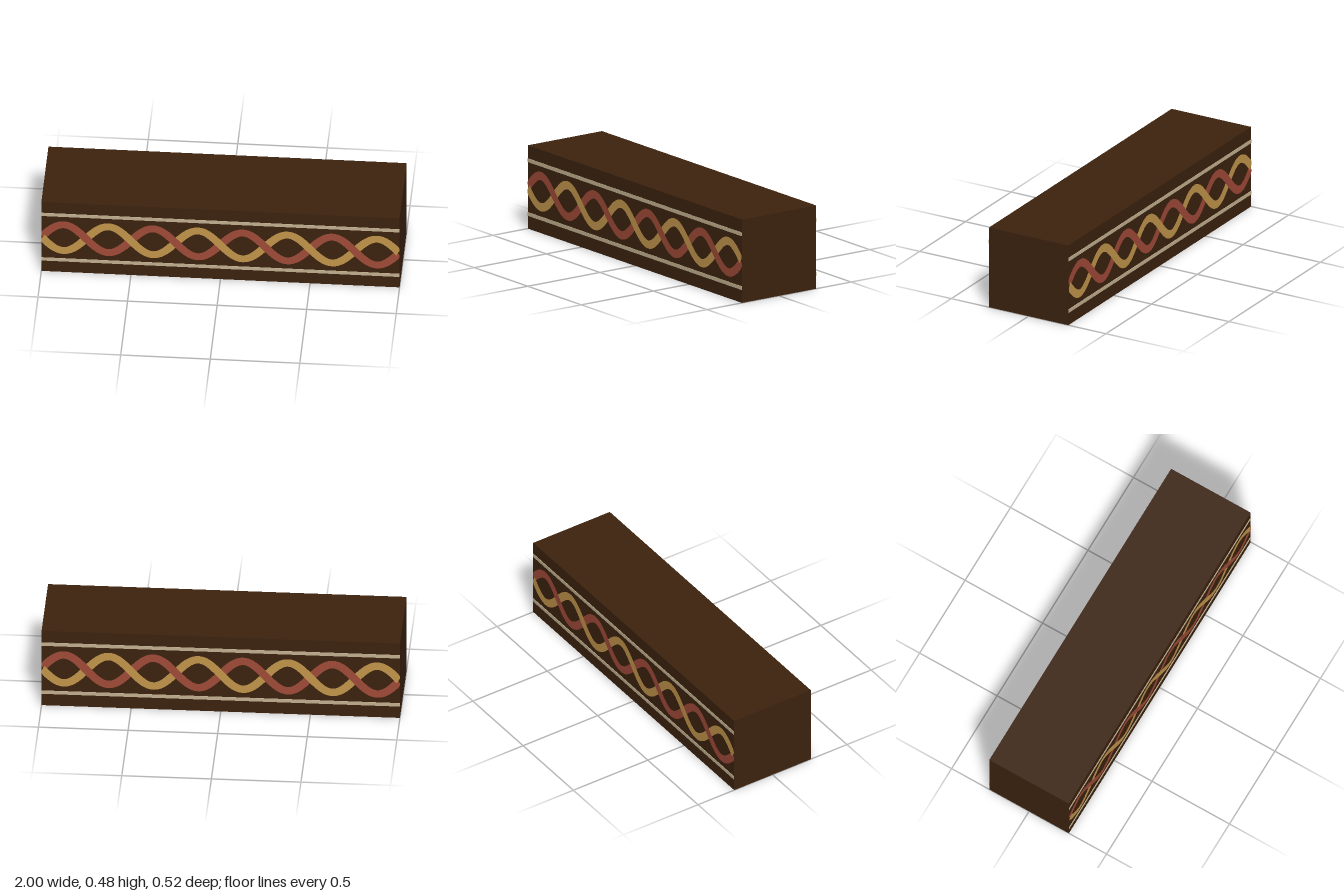
import * as THREE from 'three';

const LENGTH = 2, HEIGHT = 0.48, DEPTH = 0.52;
const RELIEF = 0.003; // how far the decoration stands off the beam

function material(name, color) {
  const m = new THREE.MeshStandardMaterial({ color });
  m.name = name;
  return m;
}

// Flat wavy ribbon; falling stretches lie in front so the strands weave
function strandGeometry(sign) {
  const steps = 160, half = 0.024, amplitude = 0.09, k = Math.PI * 4;
  const positions = [], index = [];
  for (let i = 0; i <= steps; i++) {
    const x = -1 + (LENGTH * i) / steps;
    const angle = k * (x + 1);
    const y = HEIGHT / 2 + sign * amplitude * Math.sin(angle);
    const slope = sign * amplitude * k * Math.cos(angle);
    const len = Math.hypot(1, slope);
    const z = DEPTH / 2 - 0.001 - 0.001 * sign * Math.cos(angle);
    for (const side of [-half, half]) {
      const px = THREE.MathUtils.clamp(x - (side * slope) / len, -1, 1);
      positions.push(px, y + side / len, z);
    }
    if (i < steps) {
      const a = i * 2;
      index.push(a, a + 2, a + 1, a + 1, a + 2, a + 3);
    }
  }
  const g = new THREE.BufferGeometry();
  g.setAttribute('position', new THREE.Float32BufferAttribute(positions, 3));
  // the whole ribbon faces straight out
  const normals = positions.map((_, i) => (i % 3 === 2 ? 1 : 0));
  g.setAttribute('normal', new THREE.Float32BufferAttribute(normals, 3));
  g.setIndex(index);
  return g;
}

export function createModel() {
  const wood = material('dark wood', 0x3c220e);
  const red = material('brick red', 0xa04a38);
  const gold = material('ochre gold', 0xc2954a);
  const cream = material('pale cream', 0xc2b190);

  const model = new THREE.Group();
  model.name = 'carvedBeam';
  const add = (parent, name, geometry, mat) => {
    const mesh = new THREE.Mesh(geometry, mat);
    mesh.name = name;
    parent.add(mesh);
    return mesh;
  };

  // Solid beam
  const beam = add(model, 'beam', new THREE.BoxGeometry(LENGTH, HEIGHT, DEPTH - 2 * RELIEF), wood);
  beam.position.y = HEIGHT / 2;

  // The same braided frieze on front and back
  const redStrand = strandGeometry(1), goldStrand = strandGeometry(-1);
  const rail = new THREE.BoxGeometry(LENGTH, 0.021, RELIEF);
  for (const [name, turn] of [['frontFrieze', 0], ['backFrieze', Math.PI]]) {
    const frieze = new THREE.Group();
    frieze.name = name;
    frieze.rotation.y = turn;
    add(frieze, 'redStrand', redStrand, red);
    add(frieze, 'goldStrand', goldStrand, gold);
    add(frieze, 'upperRail', rail, cream).position.set(0, 0.395, (DEPTH - RELIEF) / 2);
    add(frieze, 'lowerRail', rail, cream).position.set(0, 0.085, (DEPTH - RELIEF) / 2);
    model.add(frieze);
  }
  return model;
}
